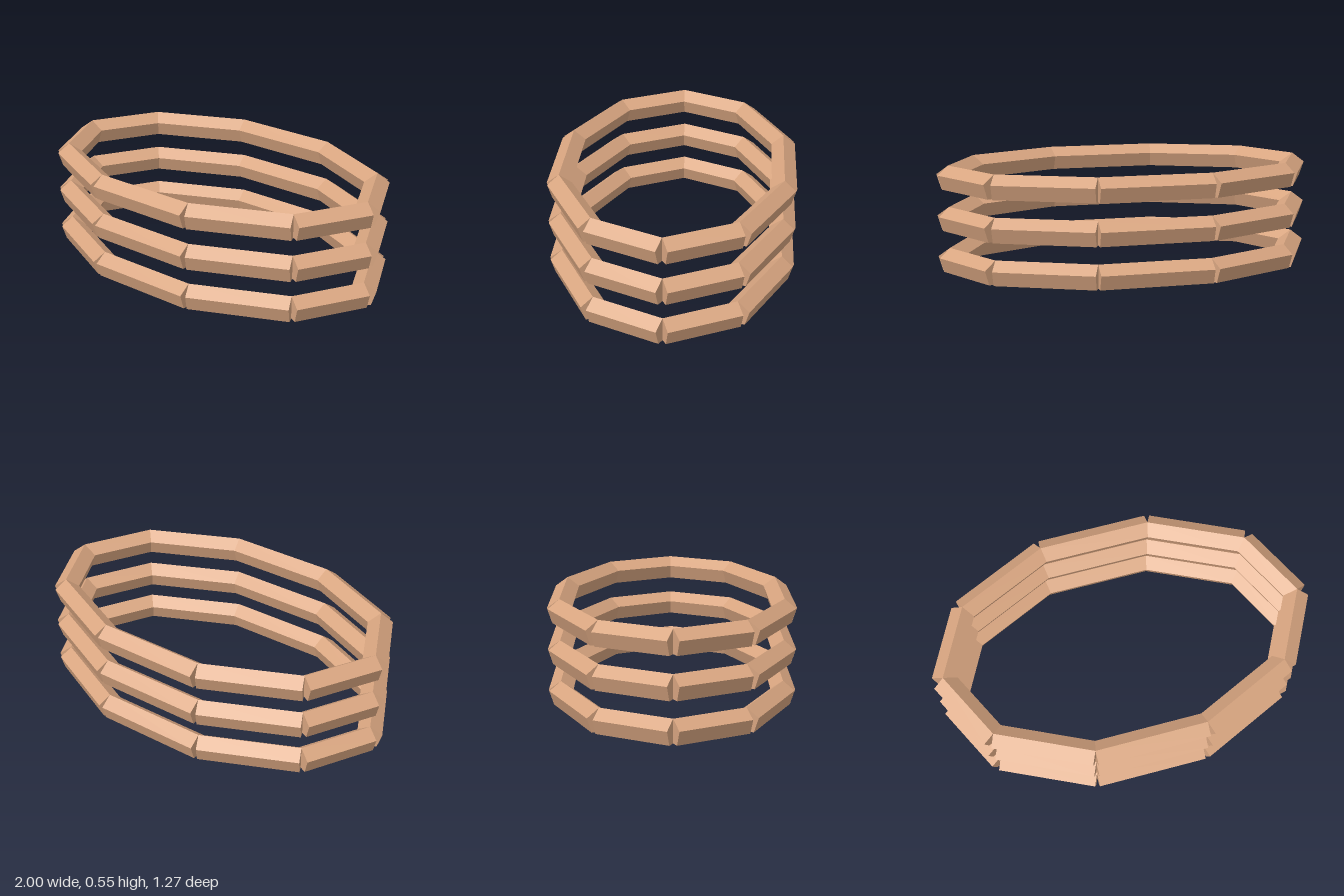
import * as THREE from 'three';

const SIDES = 10;      // beams per ring
const RX = 0.943;      // ring half-width along x
const RZ = 0.601;      // ring half-depth along z
const BEAM = 0.067;    // radius of the five-sided beam
const SPACING = 0.2155;

export function createModel() {
  const wood = new THREE.MeshStandardMaterial({ color: 0xd8a580, flatShading: true });
  wood.name = 'light wood';

  const corner = (i) => {
    const a = (i / SIDES) * Math.PI * 2;
    return new THREE.Vector3(RX * Math.cos(a), 0, RZ * Math.sin(a));
  };

  // Straight pentagonal beam between two corners, ridge pointing up
  const makeBeam = (a, b) => {
    const geometry = new THREE.CylinderGeometry(BEAM, BEAM, a.distanceTo(b), 5);
    geometry.rotateX(-Math.PI / 2);
    const beam = new THREE.Mesh(geometry, wood);
    beam.name = 'beam';
    beam.position.copy(a).add(b).multiplyScalar(0.5);
    beam.rotation.y = Math.atan2(b.x - a.x, b.z - a.z);
    return beam;
  };

  const model = new THREE.Group();
  model.name = 'stackedRings';

  // Three identical oval rings, one above the other
  ['lowerRing', 'middleRing', 'upperRing'].forEach((name, level) => {
    const ring = new THREE.Group();
    ring.name = name;
    ring.position.y = 0.003 + BEAM * Math.cos(Math.PI / 5) + level * SPACING;
    for (let i = 0; i < SIDES; i++) ring.add(makeBeam(corner(i), corner(i + 1)));
    model.add(ring);
  });

  return model;
}
